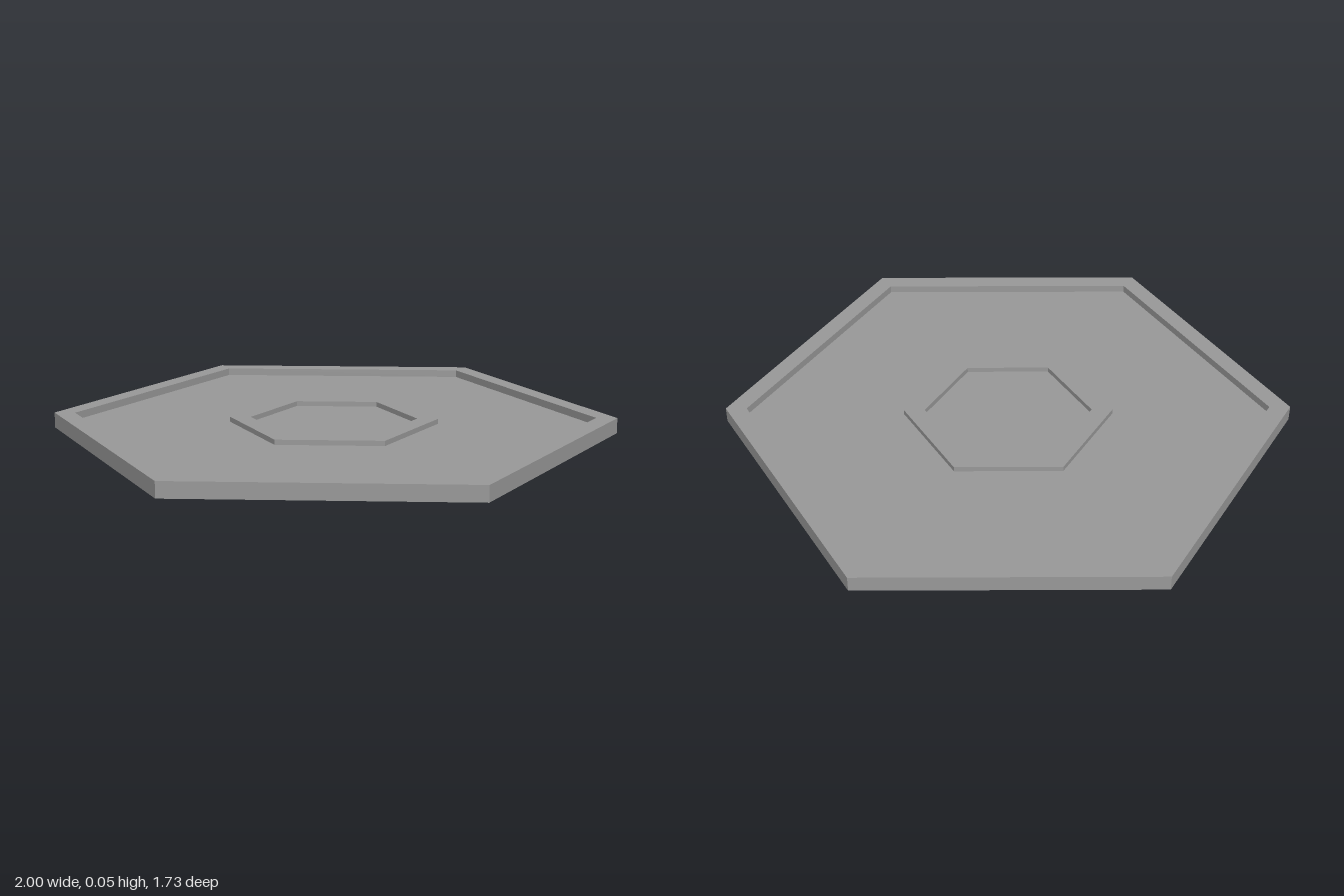
import * as THREE from 'three';

const HEIGHT = 0.055, FLOOR = 0.028, RING_TOP = 0.046;

// Hexagonal solid swept from a [radius, y] profile, with corners on the x axis
function hexSweep(name, profile, material) {
  const points = profile.map(([r, y]) => new THREE.Vector2(r, y));
  const geometry = new THREE.LatheGeometry(points, 6, Math.PI / 2).toNonIndexed();
  geometry.computeVertexNormals();
  const mesh = new THREE.Mesh(geometry, material);
  mesh.name = name;
  return mesh;
}

export function createModel() {
  const grey = new THREE.MeshStandardMaterial({ color: 0x999999, flatShading: true });
  grey.name = 'grey';

  const model = new THREE.Group();
  model.name = 'hexTile';

  // Base plate with its raised outer rim
  model.add(hexSweep('baseWithRim', [
    [0, 0], [1, 0], [1, HEIGHT], [0.926, HEIGHT], [0.926, FLOOR], [0, FLOOR],
  ], grey));

  // Lower raised ring in the middle of the floor
  model.add(hexSweep('centreRing', [
    [0.37, FLOOR], [0.37, RING_TOP], [0.296, RING_TOP], [0.296, FLOOR],
  ], grey));

  return model;
}
